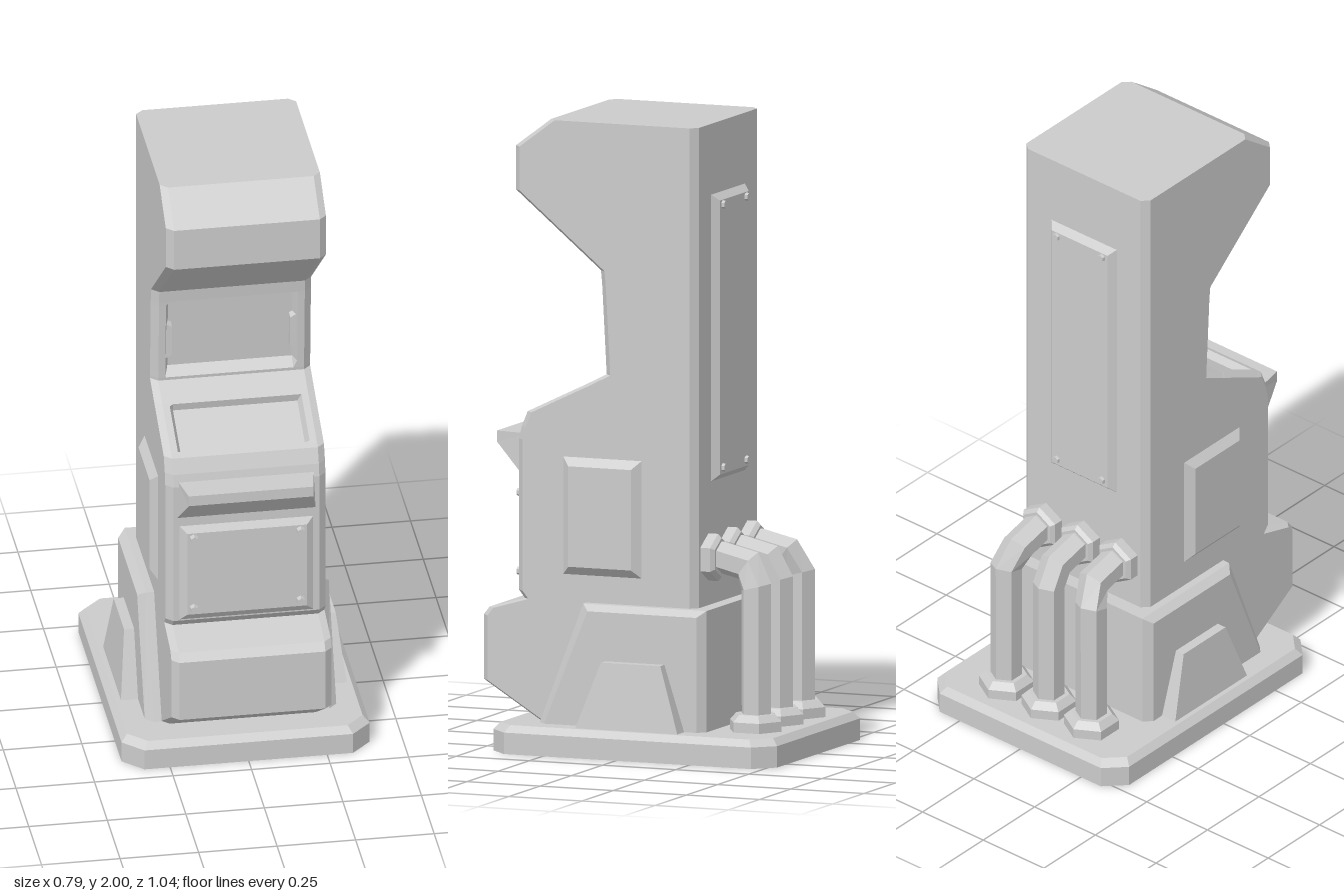
import * as THREE from 'three';

const material = new THREE.MeshStandardMaterial({ color: 0xcccccc, flatShading: true });
const V = (x, y, z) => new THREE.Vector3(x, y, z);

// Closed solid through a list of equal-length loops, capped at both ends.
function loft(loops) {
  const tris = [];
  const n = loops[0].length;
  for (let k = 0; k + 1 < loops.length; k++) {
    const a = loops[k], b = loops[k + 1];
    for (let i = 0; i < n; i++) {
      const j = (i + 1) % n;
      tris.push([a[i], a[j], b[j]], [a[i], b[j], b[i]]);
    }
  }
  const cap = (loop, flip) => {
    const normal = V(0, 0, 0);
    loop.forEach((p, i) => normal.add(p.clone().cross(loop[(i + 1) % n])));
    const ax = ['x', 'y', 'z'].sort((p, q) => Math.abs(normal[p]) - Math.abs(normal[q]));
    const flat = loop.map(p => new THREE.Vector2(p[ax[0]], p[ax[1]]));
    for (const [i, j, k] of THREE.ShapeUtils.triangulateShape(flat, [])) {
      const t = [loop[i], loop[j], loop[k]];
      const facing = t[1].clone().sub(t[0]).cross(t[2].clone().sub(t[0])).dot(normal);
      tris.push((facing < 0) !== flip ? t.reverse() : t);
    }
  };
  cap(loops[0], true);
  cap(loops[loops.length - 1], false);
  // Turn everything outwards if the enclosed volume is negative.
  const volume = tris.reduce((s, [a, b, c]) => s + a.dot(b.clone().cross(c)), 0);
  if (volume < 0) tris.forEach(t => t.reverse());
  const geo = new THREE.BufferGeometry().setFromPoints(tris.flat());
  geo.computeVertexNormals();
  return geo;
}

// Bevelled rectangular plate lying in xy, rising along +z.
function plate(w, h, d, inset) {
  const rect = (x, y, z) => [V(-x, -y, z), V(x, -y, z), V(x, y, z), V(-x, y, z)];
  return loft([rect(w / 2, h / 2, 0), rect(w / 2 - inset, h / 2 - inset, d)]);
}

// Hexagonal pipe along points in planes close to yz, mitred at bends.
function pipe(path, r) {
  const right = V(1, 0, 0);
  return loft(path.map((p, i) => {
    const d0 = (i ? p.clone().sub(path[i - 1]) : path[1].clone().sub(p)).normalize();
    const d1 = (i + 1 < path.length ? path[i + 1].clone().sub(p) : d0.clone()).normalize();
    const t = d0.clone().add(d1).normalize();
    const up = right.clone().cross(t).normalize();
    const stretch = 1 / t.dot(d0);
    return Array.from({ length: 6 }, (_, k) => {
      const a = k * Math.PI / 3;
      return p.clone().addScaledVector(right, r * Math.sin(a)).addScaledVector(up, r * stretch * Math.cos(a));
    });
  }));
}

export function createModel() {
  const group = new THREE.Group();
  const add = (name, geo, x = 0, y = 0, z = 0, ry = 0) => {
    const m = new THREE.Mesh(geo, material);
    m.name = name;
    m.position.set(x, y, z);
    m.rotation.y = ry;
    group.add(m);
    return m;
  };

  // Base slab with cut corners and a bevelled top edge
  const octagon = (y, s) => {
    const x = 0.395 - s, f = 0.445 - s, b = -0.525 + s, c = 0.063 - s * 0.3;
    return [V(x - c, y, f), V(x, y, f - c), V(x, y, b + c), V(x - c, y, b),
      V(c - x, y, b), V(-x, y, b + c), V(-x, y, f - c), V(c - x, y, f)];
  };
  add('base', loft([octagon(0, 0), octagon(0.068, 0), octagon(0.09, 0.02)]));

  // Cabinet side profile: z, y, and how far the point sinks (dz, dy) in the recessed middle
  const profile = [
    [-0.215, 0.08], [0.31, 0.08], [0.52, 0.21], [0.52, 0.415], [0.5, 0.44], [0.38, 0.475],
    [0.4, 0.5], [0.4, 0.98], [0.39, 1.02], [0.37, 1.068],
    [0.349, 1.078], [0.345, 1.08, -0.012, -0.022], [0.19, 1.155, -0.012, -0.022], [0.183, 1.158],
    [0.1, 1.2], [0.101, 1.21], [0.102, 1.235, -0.035, 0], [0.115, 1.475, -0.035, 0], [0.116, 1.49],
    [0.12, 1.53], [0.41, 1.77], [0.41, 1.91], [0.29, 2], [-0.215, 2],
  ];
  const section = (x, chamfer, sink) => profile.map(([z, y, dz = 0, dy = 0]) =>
    V(x, y + dy * sink, z + dz * sink + (z > 0 ? -chamfer : chamfer)));
  add('cabinet', loft([
    section(-0.255, 0.022, 0), section(-0.232, 0, 0), section(-0.21, 0, 0), section(-0.198, 0, 1),
    section(0.198, 0, 1), section(0.21, 0, 0), section(0.232, 0, 0), section(0.255, 0.022, 0),
  ]));

  // Sloped ledge under the control panel
  const ledge = (x, s) => [[0.37, 0.87], [0.4, 0.87], [0.49, 0.96], [0.49, 0.995], [0.37, 0.995]]
    .map(([z, y]) => V(s * (z > 0.45 ? x - 0.022 : x), y, z));
  add('ledge', loft([ledge(0.22, -1), ledge(0.22, 1)]));

  // Bolted front door and back panel
  const bolt = new THREE.CylinderGeometry(0.012, 0.015, 0.02, 6).rotateX(Math.PI / 2);
  add('frontDoor', plate(0.425, 0.335, 0.014, 0.022), 0, 0.672, 0.4);
  add('backPanel', plate(0.27, 0.91, 0.022, 0.02), 0, 1.32, -0.215, Math.PI);
  for (const s of [-1, 1]) {
    for (const y of [0.55, 0.8]) add('doorBolt', bolt, s * 0.17, y, 0.421);
    for (const y of [0.905, 1.74]) add('backBolt', bolt, s * 0.093, y, -0.237, Math.PI);
  }

  // Lower skirt, wrapping the cabinet foot
  const skirt = (x, c) => [[0.31 - c, 0.085], [0.16 - c, 0.475 - c * 0.8],
    [-0.262 + c, 0.475 - c * 0.8], [-0.262 + c, 0.085]].map(([z, y]) => V(x, y, z));
  add('skirt', loft([skirt(-0.305, 0.025), skirt(-0.28, 0), skirt(0.28, 0), skirt(0.305, 0.025)]));

  for (const s of [-1, 1]) {
    // Raised side panel
    add('sidePanel', plate(0.27, 0.375, 0.024, 0.028), s * 0.254, 0.748, 0.105, s * Math.PI / 2);
    // Tapered side foot
    const foot = (low, high) => [V(s * low, 0.085, 0.155), V(s * high, 0.3, 0.075),
      V(s * high, 0.3, -0.128), V(s * low, 0.085, -0.197)];
    add('sideFoot', loft([foot(0.28, 0.28), foot(0.36, 0.337)]));
    // Notched grip on the screen edge
    const grip = (z, h) => [V(s * 0.215, 1.34 - h, z), V(s * 0.188, 1.355 - h, z),
      V(s * 0.188, 1.325 + h, z), V(s * 0.215, 1.34 + h, z)];
    add('screenGrip', loft([grip(0.06, 0.075), grip(0.1, 0.065)]));
  }

  // Three hexagonal pipes from the base into the back
  const floorFlange = (x, z) => pipe([V(x, 0.085, z), V(x, 0.122, z)], 0.088);
  for (const k of [-1, 0, 1]) {
    const x = k * 0.175, w = k * 0.156;
    add('pipe', pipe([V(x, 0.1, -0.387), V(x, 0.545, -0.387), V(w, 0.608, -0.352),
      V(w, 0.63, -0.26), V(w, 0.63, -0.2)], 0.05));
    add('floorFlange', floorFlange(x, -0.385));
    add('floorFlangeCollar', new THREE.CylinderGeometry(0.066, 0.088, 0.022, 6), x, 0.133, -0.385);
    add('wallFlange', pipe([V(w, 0.628, -0.2), V(w, 0.628, -0.248)], 0.075));
    add('wallFlangeCollar', new THREE.CylinderGeometry(0.062, 0.075, 0.012, 6).rotateX(-Math.PI / 2),
      w, 0.628, -0.254);
  }
  return group;
}
